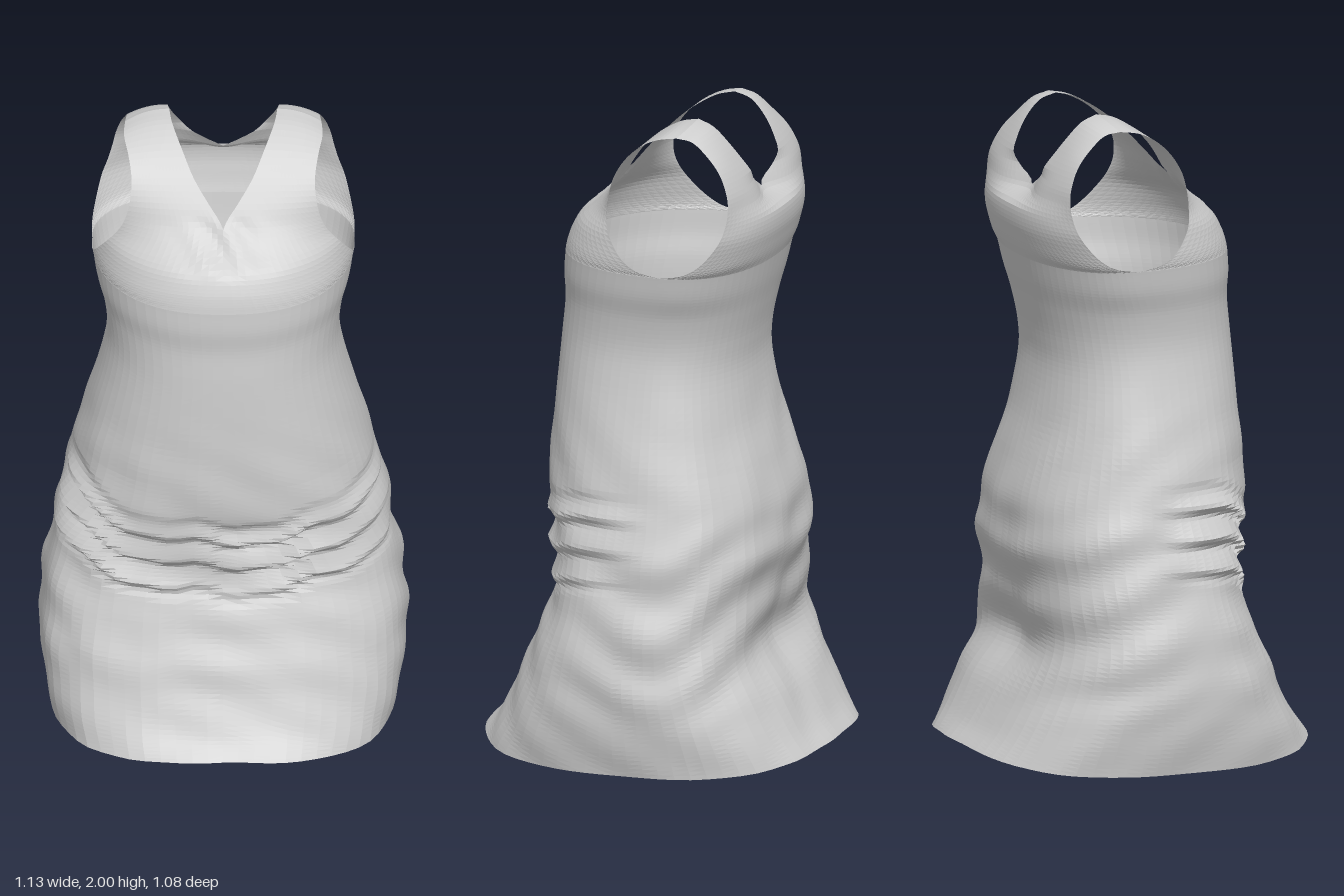
import * as THREE from 'three';

const skirtAndBodice = [ // y, half width, front z, back z, side z, squareness
  [0.04, 0.53, 0.54, -0.54, 0, 2.8],
  [0.1, 0.55, 0.485, -0.49, 0, 2.8],
  [0.2, 0.56, 0.43, -0.435, 0, 2.8],
  [0.3, 0.558, 0.39, -0.385, 0, 2.8],
  [0.4, 0.55, 0.345, -0.365, 0, 2.7],
  [0.5, 0.53, 0.305, -0.37, 0, 2.7],
  [0.58, 0.515, 0.3, -0.38, -0.01, 2.6],
  [0.66, 0.503, 0.315, -0.39, -0.01, 2.6],
  [0.74, 0.49, 0.33, -0.39, -0.02, 2.5],
  [0.82, 0.468, 0.345, -0.38, -0.02, 2.4],
  [0.92, 0.445, 0.347, -0.35, -0.02, 2.3],
  [1.05, 0.41, 0.34, -0.31, -0.02, 2.3],
  [1.2, 0.37, 0.33, -0.285, -0.02, 2.3],
  [1.3, 0.355, 0.322, -0.29, -0.03, 2.3],
  [1.4, 0.365, 0.312, -0.31, -0.05, 2.3],
  [1.48, 0.388, 0.315, -0.33, -0.08, 2.3],
  [1.55, 0.4, 0.31, -0.345, -0.1, 2.3],
];
// Neck/centre edge y, x, z, then armhole edge y, x, z
const frontTop = [
  [1.55, 0, 0.31, 1.55, 0.4, -0.1],
  [1.58, 0, 0.303, 1.565, 0.4, -0.025],
  [1.615, 0, 0.29, 1.6, 0.39, 0.03],
  [1.66, 0, 0.262, 1.66, 0.36, 0.077],
  [1.71, 0, 0.2, 1.71, 0.325, 0.095],
  [1.76, 0, 0.15, 1.76, 0.3, 0.1],
  [1.82, 0.045, 0.105, 1.82, 0.285, 0.09],
  [1.88, 0.09, 0.055, 1.88, 0.28, 0.055],
  [1.94, 0.125, -0.01, 1.93, 0.29, 0],
  [1.985, 0.155, -0.085, 1.96, 0.303, -0.06],
  [2, 0.165, -0.145, 1.97, 0.3, -0.12],
];
const backTop = [
  [1.55, 0, -0.345, 1.55, 0.4, -0.1],
  [1.58, 0, -0.355, 1.565, 0.4, -0.175],
  [1.615, 0, -0.364, 1.6, 0.39, -0.23],
  [1.66, 0, -0.373, 1.66, 0.372, -0.277],
  [1.71, 0, -0.37, 1.71, 0.352, -0.295],
  [1.76, 0, -0.345, 1.76, 0.338, -0.3],
  [1.81, 0.1, -0.318, 1.81, 0.328, -0.293],
  [1.87, 0.14, -0.285, 1.87, 0.313, -0.265],
  [1.93, 0.163, -0.245, 1.92, 0.3, -0.22],
  [1.98, 0.17, -0.197, 1.96, 0.295, -0.17],
  [2, 0.165, -0.145, 1.97, 0.3, -0.12],
];

const { smoothstep, lerp } = THREE.MathUtils;
const band = (v, a, b, soft) => smoothstep(v, a, a + soft) * (1 - smoothstep(v, b - soft, b));

// Outward shift of the cloth: gathered folds, creases and hollows
function clothOffset({ x, y, z }) {
  const front = smoothstep(z, -0.1, 0.15), back = smoothstep(-z, 0.02, 0.2);
  // three sagging folds gathered across the front
  const v = y + 0.1 * (1 - 4 * x * x) + 0.014 * Math.sin(x * 17) + 0.007 * Math.sin(x * 37 + 1);
  const t = (((v - 0.58) / 0.1) % 1 + 1) % 1;
  const ridge = t < 0.4 ? smoothstep(t, 0, 0.4) : (1 - t) / 0.6;
  let d = 0.034 * (ridge - 0.6) * front * band(v, 0.56, 0.9, 0.06) * (0.85 + 0.35 * Math.sin(x * 11 + y * 9));
  // slanting creases round the skirt
  d += 0.007 * Math.sin(y * 31 + x * 9 + 2 * Math.sin(z * 9 + x * 5)) * band(y, 0.12, 0.85, 0.2) * (1 - front * 0.5);
  // arched hollow below the seat
  d -= 0.04 * back * Math.exp(-((x / 0.22) ** 2) - ((y - 0.36) / 0.12) ** 2);
  // light waviness
  d += 0.004 * Math.sin(x * 23 + y * 17) * Math.sin(z * 21 - y * 13 + x * 5) * (1 - smoothstep(y, 0.9, 1.2));
  // inward fold at the back neck and a small gather at the front neck
  d -= 0.055 * back * band(y, 1.71, 1.85, 0.045) * Math.exp(-((x / 0.11) ** 2));
  d += 0.008 * front * Math.sin(x * 50 + y * 40) * band(y, 1.64, 1.8, 0.05) * Math.exp(-((x / 0.1) ** 2));
  return d;
}

// One quarter of the cloth, from its centre/neck edge to its side/armhole edge.
// shape(t) gives [squareness, angle at which the armhole cuts the section].
function quarterSheet(rows, steps, shape, side, isFront) {
  const edge = k => new THREE.CatmullRomCurve3(
    rows.map(r => new THREE.Vector3(r[k + 1], r[k], r[k + 2])), false, 'catmullrom', 0.5);
  const inner = edge(0), outer = edge(3);
  const cols = 18, count = (rows.length - 1) * steps, pos = [], index = [];
  for (let j = 0; j <= count; j++) {
    const a = inner.getPoint(j / count), b = outer.getPoint(j / count);
    const [n, cut] = shape(j / count);
    a.x = Math.max(a.x, 0);
    const section = ang => {
      const s = Math.sin(ang), c = Math.max(0, Math.cos(ang)), r = (s ** n + c ** n) ** (-1 / n);
      return [s * r, c * r];
    };
    const [sEnd, cEnd] = section(cut);
    for (let i = 0; i <= cols; i++) {
      const [s, c] = section(cut * i / cols), across = s / sEnd;
      const p = new THREE.Vector3(
        side * lerp(a.x, b.x, across),
        lerp(a.y, b.y, across * across),
        lerp(b.z, a.z, (c - cEnd) / (1 - cEnd)));
      const k = 1 + clothOffset(p) / Math.max(0.1, Math.hypot(p.x, p.z));
      pos.push(p.x * k, p.y, p.z * k);
      if (i < cols && j < count) {
        const q = j * (cols + 1) + i, w = q + cols + 1;
        if ((side > 0) === isFront) index.push(q, q + 1, w, q + 1, w + 1, w);
        else index.push(q, w, q + 1, q + 1, w, w + 1);
      }
    }
  }
  const g = new THREE.BufferGeometry();
  g.setAttribute('position', new THREE.Float32BufferAttribute(pos, 3));
  g.setIndex(index);
  g.computeVertexNormals();
  return g;
}

export function createModel() {
  const dress = new THREE.Group();
  dress.name = 'sleevelessDress';
  const cloth = new THREE.MeshStandardMaterial({ color: 0xcccccc, flatShading: true, side: THREE.DoubleSide });

  const add = (name, geometry) => {
    const mesh = new THREE.Mesh(geometry, cloth);
    mesh.name = name;
    dress.add(mesh);
  };
  const bodyShape = t => {
    const f = t * (skirtAndBodice.length - 1), i = Math.min(Math.floor(f), skirtAndBodice.length - 2);
    return [lerp(skirtAndBodice[i][5], skirtAndBodice[i + 1][5], f - i), Math.PI / 2];
  };
  const topShape = t => [2.3, THREE.MathUtils.degToRad(Math.max(40, 90 - 110 * t))];

  for (const isFront of [true, false]) {
    // hem dips at the sides
    const bodyRows = skirtAndBodice.map(([y, w, zf, zb, zs], i) =>
      [y, 0, isFront ? zf : zb, i === 0 ? 0 : y, w, zs]);
    for (const side of [1, -1]) {
      const label = (isFront ? 'front' : 'back') + (side > 0 ? 'Left' : 'Right');
      add(label + 'SkirtAndBodice', quarterSheet(bodyRows, 7, bodyShape, side, isFront));
      add(label + 'ChestAndStrap', quarterSheet(isFront ? frontTop : backTop, 4, topShape, side, isFront));
    }
  }
  return dress;
}
